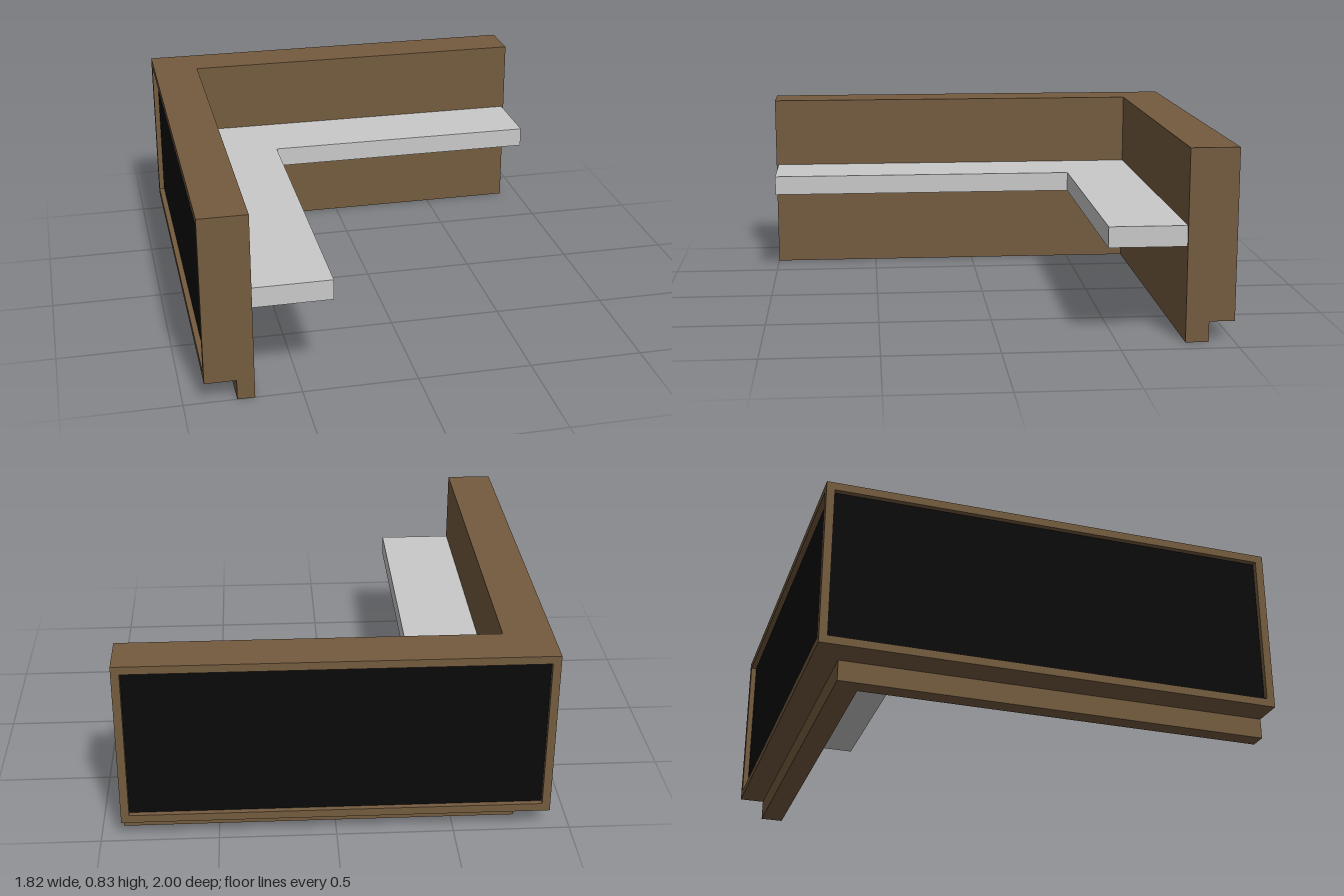
import * as THREE from 'three';

// Outer extents of the corner counter and the inner corner of its walls
const X = 0.91, Z = 1, IX = -0.7, IZ = -0.79;
const TOE = 0.09, TOP = 0.835;      // toe-kick height, overall height
const RIM = 0.035, RECESS = 0.03;   // frame width and panel recess

// Extrude a plan outline of [x, z] points upward from y0 to y1
function slab(name, points, y0, y1, material) {
  const shape = new THREE.Shape(points.map(([x, z]) => new THREE.Vector2(x, -z)));
  const geometry = new THREE.ExtrudeGeometry(shape, { depth: y1 - y0, bevelEnabled: false });
  geometry.rotateX(-Math.PI / 2);
  const mesh = new THREE.Mesh(geometry, material);
  mesh.name = name;
  mesh.position.y = y0;
  return mesh;
}

// L-shaped plan: outer corner (x0, z0), inner corner (x1, z1), arm ends (xe, ze)
const ell = (x0, z0, x1, z1, xe, ze) =>
  [[x0, z0], [xe, z0], [xe, z1], [x1, z1], [x1, ze], [x0, ze]];

export function createModel() {
  const wood = new THREE.MeshStandardMaterial({ color: 0x745b3f });
  wood.name = 'brown wood';
  const stone = new THREE.MeshStandardMaterial({ color: 0xc9c9c9 });
  stone.name = 'light grey';
  const black = new THREE.MeshStandardMaterial({ color: 0x0a0a0a });
  black.name = 'black';

  const model = new THREE.Group();
  model.name = 'cornerCounter';

  // Base set back behind the toe kick, then the lower and upper rims
  const plan = ell(-X, -Z, IX, IZ, X, Z);
  model.add(slab('toeKick', ell(-0.775, -0.89, IX, IZ, X, Z), 0, TOE, wood));
  model.add(slab('lowerRim', plan, TOE, TOE + RIM, wood));
  model.add(slab('upperRim', plan, TOP - RIM, TOP, wood));

  // Wall between the rims, notched on both outer sides to leave corner posts
  const bz = -Z + RECESS, sx = -X + RECESS;
  model.add(slab('wall', [
    [-X, -Z], [-X + RIM, -Z], [-X + RIM, bz], [X - RIM, bz], [X - RIM, -Z], [X, -Z],
    [X, IZ], [IX, IZ], [IX, Z], [-X, Z],
    [-X, Z - RIM], [sx, Z - RIM], [sx, -Z + RIM], [-X, -Z + RIM],
  ], TOE + RIM, TOP - RIM, wood));

  // Thin dark panels inside the two recesses
  const h = TOP - TOE - 2 * RIM, y = (TOP + TOE) / 2, t = 0.006;
  const panel = (name, w, d, x, z) => {
    const mesh = new THREE.Mesh(new THREE.BoxGeometry(w, h, d), black);
    mesh.name = name;
    mesh.position.set(x, y, z);
    model.add(mesh);
  };
  panel('backPanel', 2 * (X - RIM), t, 0, bz - t / 2);
  panel('sidePanel', t, 2 * (Z - RIM), sx - t / 2, 0);

  // Worktop along the inner walls
  model.add(slab('worktop', ell(IX, IZ, -0.36, -0.455, 0.9, 0.99), 0.415, 0.505, stone));
  return model;
}
